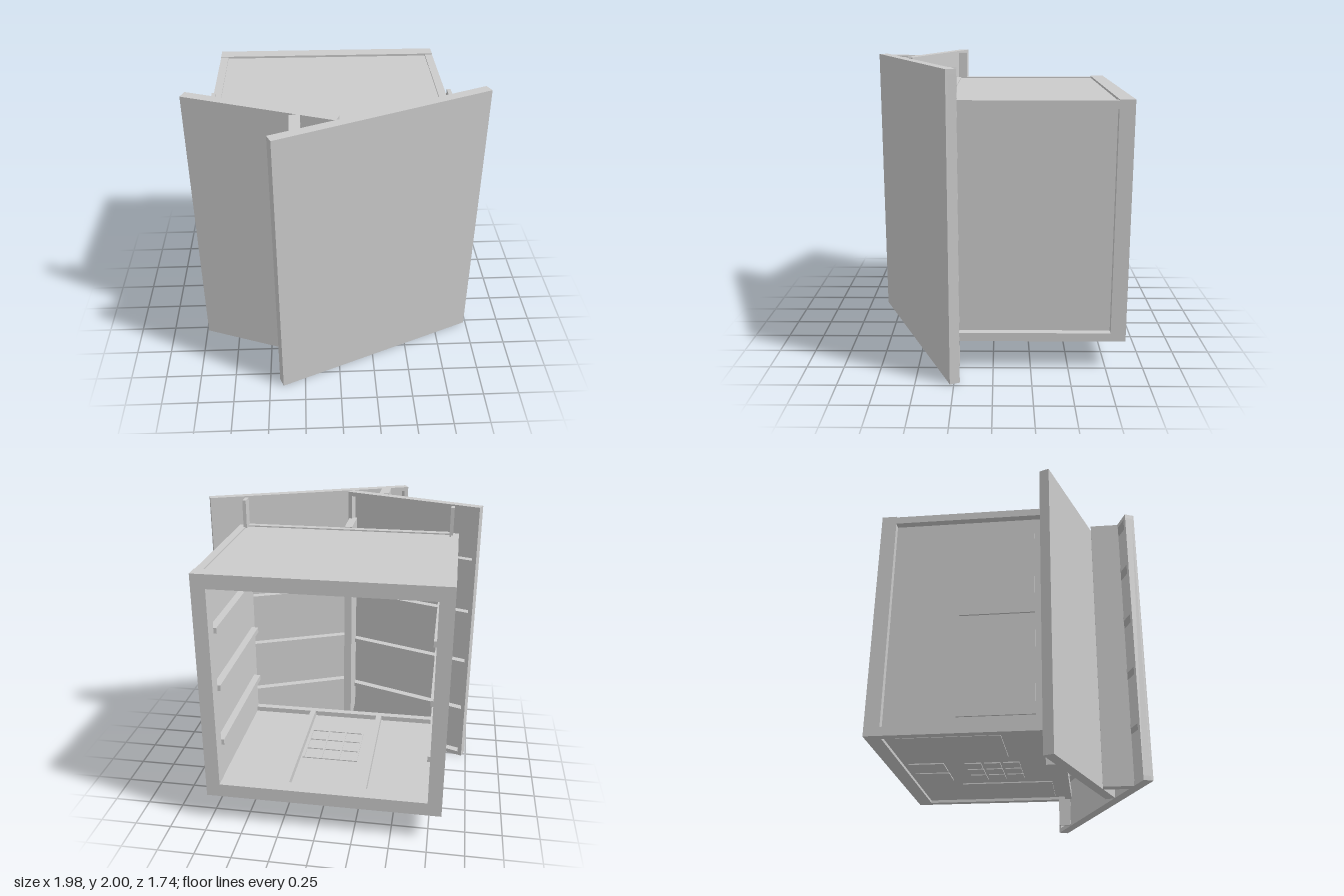
import * as THREE from 'three';

const material = new THREE.MeshStandardMaterial({ color: 0xcccccc });

// Box given by its min and max on each axis
function block(parent, name, x0, x1, y0, y1, z0, z1) {
  const mesh = new THREE.Mesh(new THREE.BoxGeometry(x1 - x0, y1 - y0, z1 - z0), material);
  mesh.position.set((x0 + x1) / 2, (y0 + y1) / 2, (z0 + z1) / 2);
  mesh.name = name;
  parent.add(mesh);
  return mesh;
}

// Upright wall from a to b ([x, z]): thin skin in front, frame and rails behind
function framedWall(parent, name, a, b, y0, y1, railHeights, depth = 0.068) {
  const dx = b[0] - a[0], dz = b[1] - a[1];
  const length = Math.hypot(dx, dz);
  const wall = new THREE.Group();
  wall.name = name;
  wall.position.set(a[0], 0, a[1]);
  wall.rotation.y = -Math.atan2(dz, dx);
  const t = 0.03, skin = 0.014;
  block(wall, 'skin', 0, length, y0, y1, -skin, 0);
  block(wall, 'bottomPlate', 0, length, y0, y0 + t, -depth, -skin);
  block(wall, 'topPlate', 0, length, y1 - t, y1, -depth, -skin);
  block(wall, 'startStud', 0, t, y0 + t, y1 - t, -depth, -skin);
  block(wall, 'endStud', length - t, length, y0 + t, y1 - t, -depth, -skin);
  for (const y of railHeights) {
    block(wall, 'rail', t, length - t, y - t / 2, y + t / 2, -depth, -skin);
  }
  parent.add(wall);
}

export function createModel() {
  const model = new THREE.Group();
  model.name = 'framedRoom';

  // Angled front walls, the short return between them and the spur to the room
  const rails = [0.4, 0.8, 1.2, 1.6];
  framedWall(model, 'longFrontWall', [-0.405, 0.868], [0.985, 0.275], 0, 2, rails);
  framedWall(model, 'shortFrontWall', [-0.99, 0.285], [-0.025, 0.637], 0, 2, rails);
  framedWall(model, 'returnWall', [-0.305, 0.555], [-0.305, 0.755], 0, 2, []);
  framedWall(model, 'spurWall', [-0.065, 0.32], [-0.065, 0.6], 0.2, 1.8, [], 0.055);

  // Open rear portal
  const room = new THREE.Group();
  room.name = 'room';
  model.add(room);
  const xr = -0.835, xl = 0.765, yb = 0.2, yt = 1.8;
  block(room, 'portalRightJamb', xr, xr + 0.095, yb, yt, -0.875, -0.775);
  block(room, 'portalLeftJamb', xl - 0.095, xl, yb, yt, -0.875, -0.775);
  block(room, 'portalHead', xr + 0.095, xl - 0.095, yt - 0.095, yt, -0.875, -0.775);
  block(room, 'portalSill', xr + 0.095, xl - 0.095, yb, yb + 0.095, -0.875, -0.775);

  // Side walls: skin, outer edge rails, inner rails and a tall front post
  for (const s of [-1, 1]) {
    const cx = -0.035;
    const side = (name, inner, outer, y0, y1, z0, z1) => {
      const p = cx + s * inner, q = cx + s * outer;
      block(room, name, Math.min(p, q), Math.max(p, q), y0, y1, z0, z1);
    };
    side('sideSkin', 0.735, 0.752, 0.22, 1.78, -0.775, 0.27);
    side('lowerEdgeRail', 0.745, 0.8, yb, 0.258, -0.775, 0.29);
    side('upperEdgeRail', 0.745, 0.8, 1.742, 1.794, -0.775, 0.29);
    side('frontPost', 0.735, 0.76, 0, 1.99, 0.225, s > 0 ? 0.31 : 0.29);
    for (const y of [0.57, 0.98, 1.39]) {
      side('innerRail', 0.685, 0.735, y - 0.02, y + 0.02, -0.775, 0.225);
    }
  }

  // Raised cover plates on the right side wall
  for (const [y0, y1] of [[0.32, 0.96], [1.02, 1.62]]) {
    block(room, 'coverPlate', -0.8, -0.785, y0, y1, -0.32, 0.17);
  }

  // Roof, floor and their front beams
  block(room, 'roofPanel', -0.79, 0.72, 1.765, 1.785, -0.775, 0.28);
  block(room, 'floorPanel', -0.79, 0.72, 0.22, 0.238, -0.775, 0.28);
  block(room, 'upperFrontBeam', -0.775, 0.705, 1.735, 1.794, 0.272, 0.322);
  block(room, 'lowerFrontBeam', -0.775, 0.705, 0.2, 0.275, 0.272, 0.322);

  // Joists split the floor and ceiling into three bays
  for (const x of [-0.3, 0.23]) {
    block(room, 'floorJoist', x - 0.02, x + 0.02, 0.238, 0.29, -0.775, 0.272);
    block(room, 'ceilingJoist', x - 0.02, x + 0.02, 1.715, 1.765, -0.775, 0.272);
  }

  // Thin plates under the floor: one in each outer bay, small ones in the middle
  const underPlate = (x0, x1, z0, z1) => block(room, 'underPlate', x0, x1, 0.212, 0.22, z0, z1);
  underPlate(-0.74, -0.33, -0.7, -0.05);
  underPlate(0.27, 0.66, -0.45, 0.2);
  for (let i = 0; i < 2; i++) underPlate(-0.22 + i * 0.21, -0.03 + i * 0.21, -0.74, -0.5);
  for (let i = 0; i < 3; i++) {
    for (let j = 0; j < 3; j++) {
      const x = -0.2 + i * 0.13, z = -0.36 + j * 0.13;
      underPlate(x, x + 0.11, z, z + 0.11);
    }
  }

  // Thin grid on the floor in the middle bay
  for (let i = 0; i < 4; i++) {
    const x = -0.2 + i * 0.13, z = -0.36 + i * 0.13;
    block(room, 'gridBar', x - 0.006, x + 0.006, 0.238, 0.246, -0.366, 0.036);
    block(room, 'gridBar', -0.206, 0.196, 0.238, 0.245, z - 0.006, z + 0.006);
  }

  return model;
}
